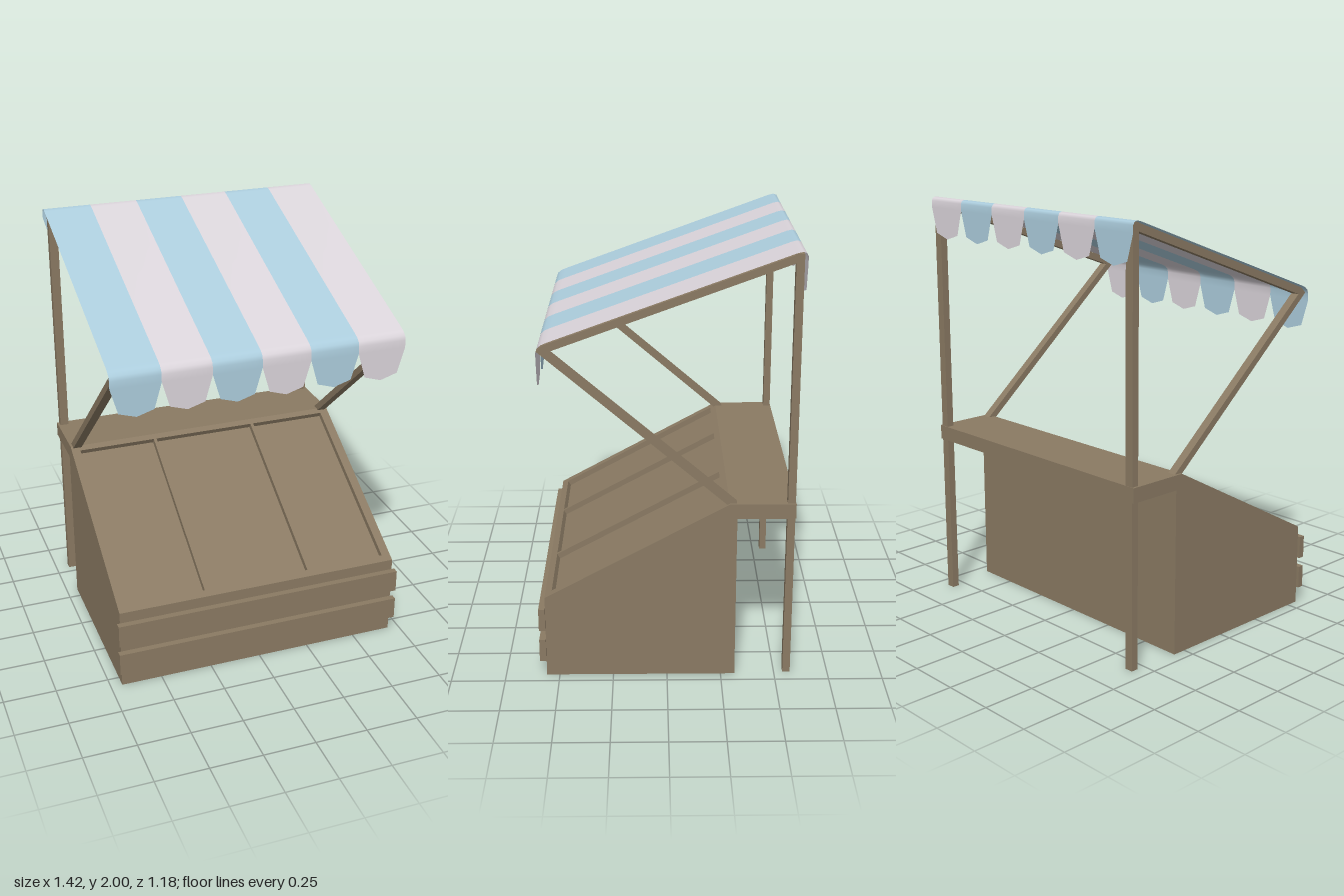
import * as THREE from 'three';

const wood = new THREE.MeshStandardMaterial({ color: 0x8a7a63 });
wood.name = 'wood';
const blue = new THREE.MeshStandardMaterial({ color: 0xaccddd, side: THREE.DoubleSide });
blue.name = 'blueCloth';
const pale = new THREE.MeshStandardMaterial({ color: 0xdad4da, side: THREE.DoubleSide });
pale.name = 'paleCloth';

// Extrude a side profile of [z, y] points from x0 to x1
function slab(name, profile, x0, x1) {
  const shape = new THREE.Shape(profile.map(([z, y]) => new THREE.Vector2(z, y)));
  const geo = new THREE.ExtrudeGeometry(shape, { depth: x1 - x0, bevelEnabled: false });
  geo.rotateY(-Math.PI / 2).translate(x1, 0, 0);
  const mesh = new THREE.Mesh(geo, wood);
  mesh.name = name;
  return mesh;
}

function box(name, w, h, d, x, y, z) {
  const mesh = new THREE.Mesh(new THREE.BoxGeometry(w, h, d), wood);
  mesh.position.set(x, y, z);
  mesh.name = name;
  return mesh;
}

// Counter body with three trays sunk into its sloping face
function createCounter() {
  const g = new THREE.Group();
  g.name = 'counter';
  const W = 0.695, depth = 0.028;
  const low = [0.56, 0.4], high = [-0.28, 0.86];
  const len = Math.hypot(high[0] - low[0], high[1] - low[1]);
  const t = [(high[0] - low[0]) / len, (high[1] - low[1]) / len];
  const drop = depth / -t[0];
  const lowIn = [low[0], low[1] - drop], highIn = [high[0], high[1] - drop];
  // Point on the slope at distance s, sunk by d along its normal
  const at = (s, d) => [low[0] + t[0] * s - t[1] * d, low[1] + t[1] * s + t[0] * d];

  g.add(slab('counterBody', [
    [0.56, 0], lowIn, highIn, high, [-0.578, 0.86], [-0.578, 0.79], [-0.315, 0.79], [-0.315, 0],
  ], -W, W));

  // Frame around the trays
  for (const [a, b] of [[-W, -0.652], [-0.27, -0.255], [0.255, 0.27], [0.652, W]])
    g.add(slab('trayDivider', [low, high, highIn, lowIn], a, b));
  const s0 = 0.035, s1 = 0.927;
  for (const [a, b] of [[-0.652, -0.27], [-0.255, 0.255], [0.27, 0.652]]) {
    g.add(slab('trayLowerRail', [low, at(s0, 0), at(s0, depth), lowIn], a, b));
    g.add(slab('trayUpperRail', [at(s1, 0), high, highIn, at(s1, depth)], a, b));
  }

  // Front planks
  for (const y of [0.135, 0.292]) g.add(box('frontPlank', 1.418, 0.11, 0.03, 0, y, 0.575));
  return g;
}

// One cloth stripe: a swept sheet with a scalloped valance at both ends
function createStripe(x0, width, material) {
  const profile = [
    [-0.59, 1.95], [-0.59, 1.982], [-0.583, 1.995], [-0.568, 2], [-0.545, 1.995],
    [0.515, 1.61], [0.54, 1.599], [0.556, 1.585], [0.563, 1.565], [0.563, 1.53],
  ];
  const columns = [[0, 0], [0.15, 0.12], [0.5, 0.145], [0.85, 0.12], [1, 0]];
  const rows = [[...profile[0], 1], ...profile.map((p) => [...p, 0]), [...profile.at(-1), 1]];
  const pos = [], index = [], n = columns.length;
  rows.forEach(([z, y, hang], r) => columns.forEach(([u, fall], c) => {
    pos.push(x0 + u * width, y - hang * fall, z);
    if (r < rows.length - 1 && c < n - 1) {
      const i = r * n + c;
      index.push(i, i + n, i + 1, i + 1, i + n, i + n + 1);
    }
  }));
  const geo = new THREE.BufferGeometry();
  geo.setAttribute('position', new THREE.Float32BufferAttribute(pos, 3));
  geo.setIndex(index);
  geo.computeVertexNormals();
  // Hanging corners take the normal of the valance above them
  const normal = geo.attributes.normal;
  for (let c = 0; c < n; c++) {
    normal.setXYZ(c, 0, 0, -1);
    normal.setXYZ((rows.length - 1) * n + c, 0, 0, 1);
  }
  const mesh = new THREE.Mesh(geo, material);
  mesh.name = 'awningStripe';
  return mesh;
}

export function createModel() {
  const model = new THREE.Group();
  model.name = 'marketStall';
  model.add(createCounter());

  // Rear posts and the bent side frames that carry the awning
  const bent = [
    [-0.56, 1.994], [0.53, 1.598], [0.561, 1.57], [-0.275, 0.85],
    [-0.325, 0.85], [0.51, 1.568], [-0.56, 1.958],
  ];
  for (const s of [-1, 1]) {
    model.add(box('rearPost', 0.042, 1.99, 0.035, s * 0.663, 0.995, -0.558));
    model.add(slab('awningFrame', bent, s * 0.663 - 0.021, s * 0.663 + 0.021));
  }

  // Striped awning
  const awning = new THREE.Group();
  awning.name = 'awning';
  const width = 0.231;
  for (let i = 0; i < 6; i++)
    awning.add(createStripe(-0.7 + i * width, width, i % 2 ? pale : blue));
  model.add(awning);
  return model;
}
